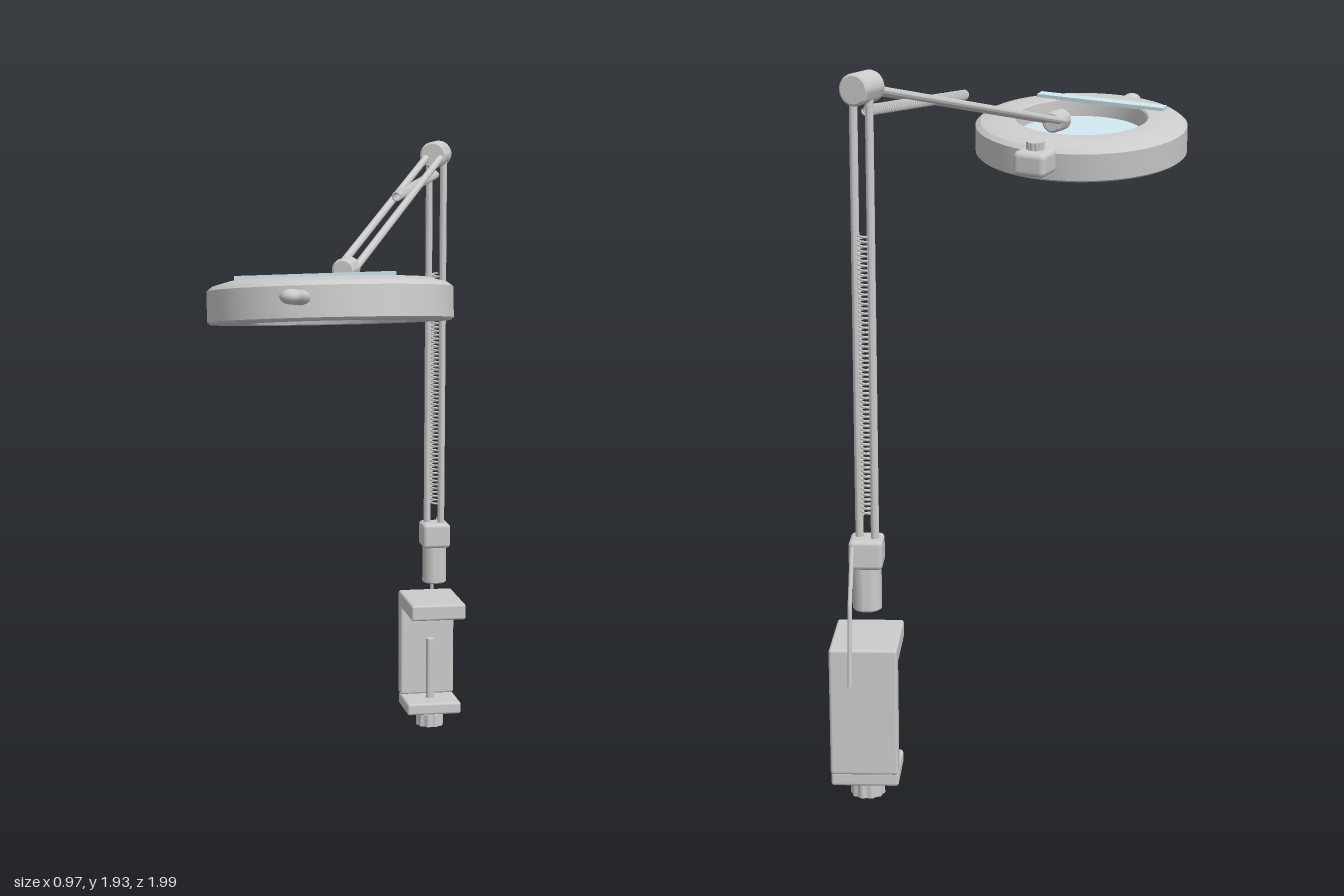
import * as THREE from 'three';
import { RoundedBoxGeometry } from 'three/addons/geometries/RoundedBoxGeometry.js';
import { toCreasedNormals } from 'three/addons/utils/BufferGeometryUtils.js';

const grey = new THREE.MeshStandardMaterial({ color: 0xcccccc });
const glass = new THREE.MeshStandardMaterial({ color: 0xcfe4ee });
const V = (x, y, z) => new THREE.Vector3(x, y, z);

function add(parent, name, geometry, position = V(0, 0, 0), material = grey) {
  const mesh = new THREE.Mesh(geometry, material);
  mesh.name = name;
  mesh.position.copy(position);
  parent.add(mesh);
  return mesh;
}

// Rounded box given by its two opposite corners
function box(parent, name, a, b, bevel = 0.008) {
  const s = b.clone().sub(a);
  return add(parent, name, new RoundedBoxGeometry(s.x, s.y, s.z, 2, bevel), a.clone().add(b).multiplyScalar(0.5));
}

// Solid cylinder with slightly softened rims between two points
function rod(parent, name, a, b, r, bevel = 0.002) {
  const len = a.distanceTo(b);
  const pts = [[0, 0], [r - bevel, 0], [r, bevel], [r, len - bevel], [r - bevel, len], [0, len]];
  const geo = new THREE.LatheGeometry(pts.map(p => new THREE.Vector2(...p)), 28);
  const mesh = add(parent, name, toCreasedNormals(geo, 0.6), a);
  mesh.quaternion.setFromUnitVectors(V(0, 1, 0), b.clone().sub(a).normalize());
  return mesh;
}

// Coil spring between two points
class Helix extends THREE.Curve {
  constructor(len, r, turns) {
    super();
    Object.assign(this, { len, r, turns });
  }
  getPoint(t, out = V(0, 0, 0)) {
    const a = t * this.turns * Math.PI * 2;
    return out.set(Math.cos(a) * this.r, t * this.len, Math.sin(a) * this.r);
  }
}
function spring(parent, name, a, b, r, turns) {
  const curve = new Helix(a.distanceTo(b), r, turns);
  curve.arcLengthDivisions = turns * 12;
  const mesh = add(parent, name, new THREE.TubeGeometry(curve, turns * 12, 0.0033, 6), a);
  mesh.quaternion.setFromUnitVectors(V(0, 1, 0), b.clone().sub(a).normalize());
}

// Knob with grip flutes around its rim
function knob(parent, name, position, r, h, flutes) {
  const shape = new THREE.Shape();
  const n = flutes * 6;
  for (let i = 0; i < n; i++) {
    const a = (i / n) * Math.PI * 2;
    const rr = r * (0.95 + 0.05 * Math.cos(a * flutes));
    shape[i ? 'lineTo' : 'moveTo'](Math.cos(a) * rr, Math.sin(a) * rr);
  }
  const geo = new THREE.ExtrudeGeometry(shape, { depth: h, bevelEnabled: false });
  geo.rotateX(-Math.PI / 2);
  return add(parent, name, geo, position);
}

function makeClamp() {
  const g = new THREE.Group();
  g.name = 'clamp';
  box(g, 'clampTop', V(0.30, 0.388, -0.95), V(0.48, 0.44, -0.70));
  box(g, 'clampBack', V(0.30, 0.09, -0.95), V(0.48, 0.435, -0.90));
  box(g, 'clampFoot', V(0.30, 0.053, -0.937), V(0.48, 0.092, -0.767));
  rod(g, 'clampScrew', V(0.39, 0.03, -0.85), V(0.39, 0.295, -0.85), 0.0135);
  knob(g, 'clampKnob', V(0.39, 0, -0.85), 0.046, 0.04, 10);
  return g;
}

function makeHead() {
  const g = new THREE.Group();
  g.name = 'lampHead';
  // Ring-shaped housing with chamfered top and stepped opening
  const profile = [[0.213, 0], [0.32, 0], [0.327, 0.006], [0.327, 0.088], [0.312, 0.1], [0.265, 0.113],
    [0.208, 0.113], [0.203, 0.108], [0.196, 0.06], [0.196, 0.04], [0.213, 0]];
  const ring = new THREE.LatheGeometry(profile.map(p => new THREE.Vector2(...p)), 72);
  add(g, 'ringHousing', toCreasedNormals(ring, 0.35));
  add(g, 'lens', new THREE.CylinderGeometry(0.197, 0.197, 0.014, 64), V(0, 0.05, 0), glass);
  add(g, 'topStrip', new THREE.BoxGeometry(0.424, 0.012, 0.036), V(0, 0.117, 0.164), glass);
  // Flattened grip handle at the front
  const grip = new THREE.CapsuleGeometry(0.028, 0.13, 6, 20);
  grip.rotateX(Math.PI / 2);
  grip.scale(1, 0.7, 1);
  add(g, 'handle', grip, V(0, 0.057, 0.36));
  // Hinge block and tightening knob at the rear
  const block = box(g, 'hingeBlock', V(-0.052, 0.03, -0.413), V(0.052, 0.105, -0.305), 0.018);
  block.rotation.x = 0.05;
  knob(g, 'hingeKnob', V(0, 0.104, -0.355), 0.027, 0.026, 12);
  g.position.set(-0.163, 1.523, 0.586);
  g.rotation.set(-0.14, -0.385, 0);
  return g;
}

export function createModel() {
  const model = new THREE.Group();
  model.name = 'magnifierLamp';
  model.add(makeClamp(), makeHead());

  // Pivot post above the clamp
  rod(model, 'pivotPost', V(0.39, 0.50, -0.787), V(0.39, 0.625, -0.787), 0.039, 0.004);
  box(model, 'postBlock', V(0.345, 0.62, -0.834), V(0.435, 0.70, -0.739), 0.012);

  // Power cable behind the clamp
  const path = new THREE.CurvePath();
  const cable = [V(0.42, 0.70, -0.88), V(0.42, 0.56, -0.96), V(0.42, 0.355, -0.993)];
  cable.slice(1).forEach((p, i) => path.add(new THREE.LineCurve3(cable[i], p)));
  add(model, 'cable', new THREE.TubeGeometry(path, 24, 0.006, 8));

  // Horizontal arm heading and its sideways direction
  const d = V(-0.376, 0, 0.926);
  const side = V(0.926, 0, 0.376);
  const elbow = V(0.386, 1.893, -0.778);
  const tip = V(-0.09, 1.645, 0.392);
  rod(model, 'elbow', elbow.clone().addScaledVector(d, -0.05), elbow.clone().addScaledVector(d, 0.052), 0.042, 0.006);
  rod(model, 'armTip', tip.clone().addScaledVector(d, -0.04), tip.clone().addScaledVector(d, 0.042), 0.032, 0.006);

  // Paired rods of the lower and upper arm
  for (const s of [-1, 1]) {
    const off = side.clone().multiplyScalar(0.023 * s);
    rod(model, 'lowerArmRod', V(0.388, 0.68, -0.787).add(off), V(0.388, 1.88, -0.777).add(off), 0.011);
    rod(model, 'upperArmRod', elbow.clone().add(off), tip.clone().add(off), 0.011);
  }
  spring(model, 'lowerSpring', V(0.388, 0.76, -0.79), V(0.388, 1.515, -0.79), 0.012, 60);
  spring(model, 'upperSpring', V(0.378, 1.832, -0.755), V(0.154, 1.80, -0.20), 0.012, 48);
  return model;
}
